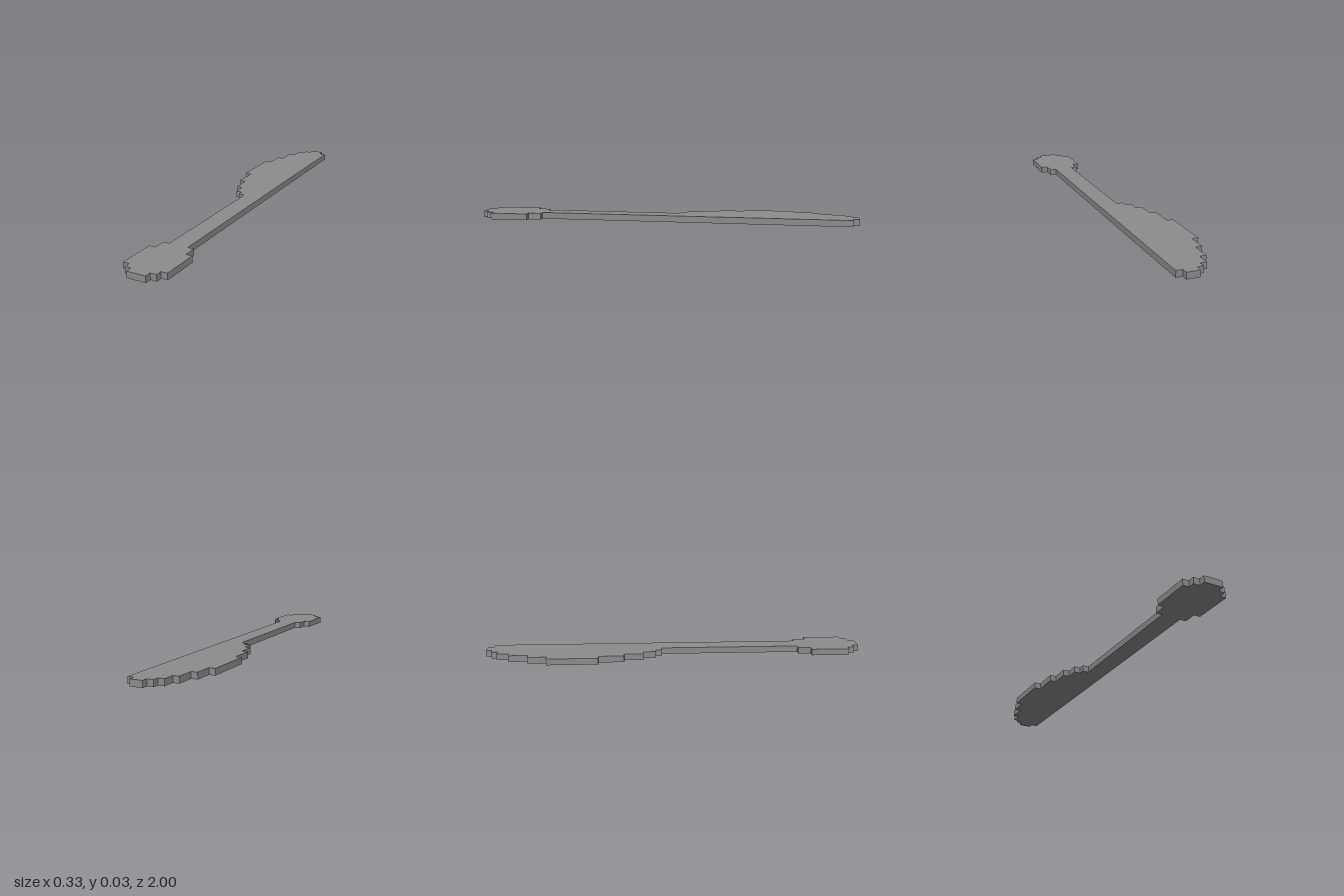
import * as THREE from 'three';

const U = 1 / 30; // one block

// Stepped outline as rows of blocks, back to front: [zStart, xLeft, xRight]
const blade = [
  [-30, 0, 2], [-29, -1, 3], [-28, -2, 3], [-26, -3, 3], [-23, -4, 3],
  [-20, -5, 3], [-12, -4, 3], [-8, -3, 3], [-5, -2, 3], [-3, -1, 3],
];
const shaft = [[-2, 0, 3]];
const pommel = [[20, -1, 4], [22, -2, 5], [28, -1, 4], [29, 0, 3]];
const zEnd = 30;

// Walk down the right edge and back up the left edge of the rows
function steppedShape(rows) {
  const right = [], left = [];
  rows.forEach(([z, xl, xr], i) => {
    const zNext = i + 1 < rows.length ? rows[i + 1][0] : zEnd;
    for (const [edge, x] of [[right, xr], [left, xl]]) {
      const last = edge[edge.length - 1];
      if (last && last.x === x * U) last.y = -zNext * U; // extend a straight run
      else edge.push(new THREE.Vector2(x * U, -z * U), new THREE.Vector2(x * U, -zNext * U));
    }
  });
  return new THREE.Shape([...right, ...left.reverse()]);
}

export function createModel() {
  const group = new THREE.Group();
  group.name = 'paddle';

  // Blade, shaft and pommel form one flat slab, one block thick
  const geometry = new THREE.ExtrudeGeometry(
    steppedShape([...blade, ...shaft, ...pommel]),
    { depth: U, bevelEnabled: false },
  );
  geometry.rotateX(-Math.PI / 2);

  const material = new THREE.MeshStandardMaterial({ color: 0x8c8c8c, flatShading: true });
  const slab = new THREE.Mesh(geometry, material);
  slab.name = 'bladeShaftAndPommel';
  group.add(slab);
  return group;
}
